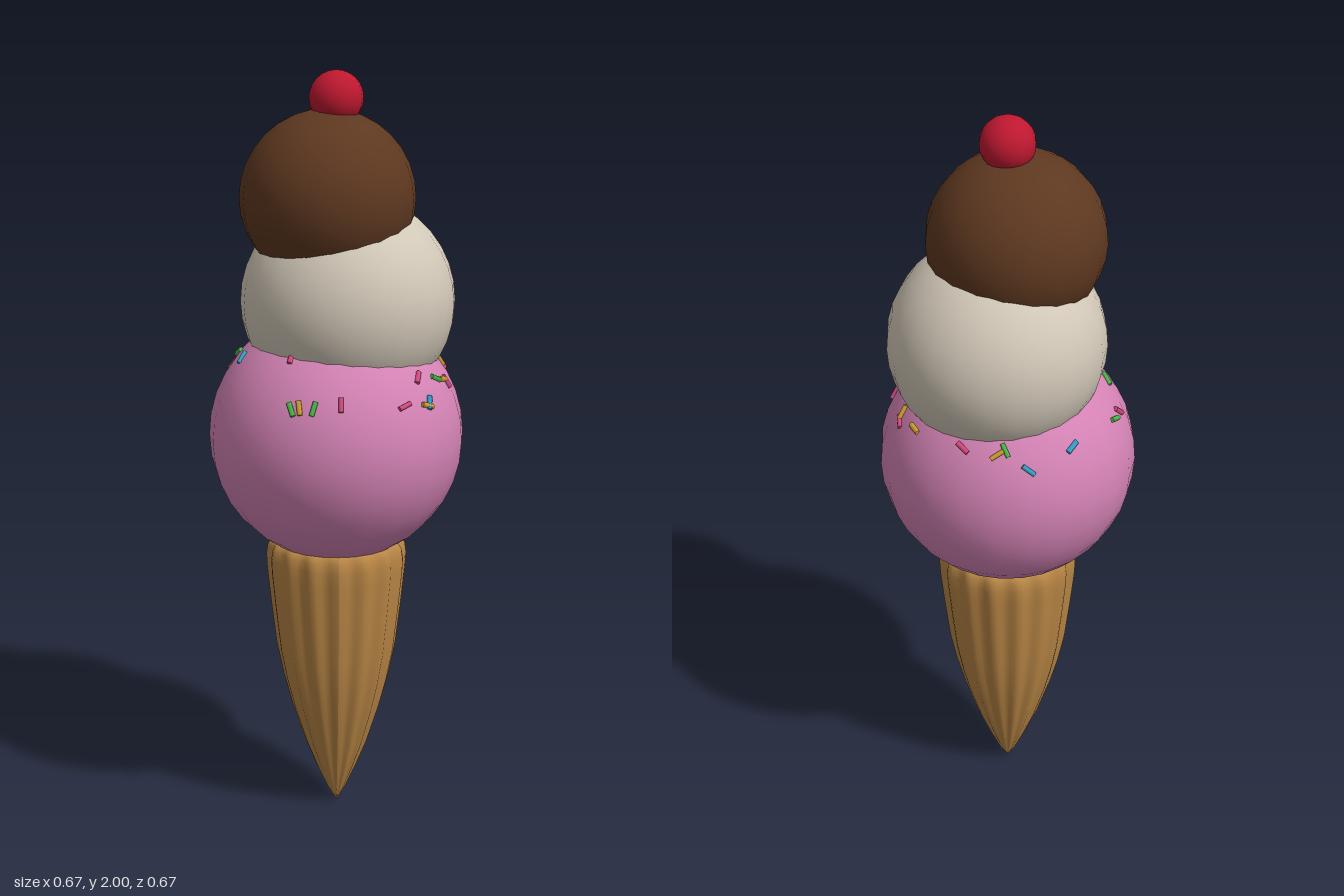
import * as THREE from 'three';

const mat = (color) => new THREE.MeshStandardMaterial({ color, roughness: 0.8 });

function add(group, name, geometry, material, x = 0, y = 0, z = 0) {
  const mesh = new THREE.Mesh(geometry, material);
  mesh.name = name;
  mesh.position.set(x, y, z);
  group.add(mesh);
  return mesh;
}

// Lathe profile whose radius is modulated into shallow vertical ribs
function ribbedCone(ribs) {
  const profile = [
    [0, 0], [0.024, 0.04], [0.055, 0.11], [0.087, 0.19], [0.122, 0.3], [0.143, 0.38],
    [0.161, 0.47], [0.175, 0.59], [0.185, 0.69], [0.187, 0.73], [0.183, 0.755], [0.173, 0.772], [0.155, 0.772],
  ].map(([r, y]) => new THREE.Vector2(r, y));
  const geometry = new THREE.LatheGeometry(profile, ribs * 6);
  const p = geometry.attributes.position;
  for (let i = 0; i < p.count; i++) {
    const angle = Math.atan2(p.getX(i), p.getZ(i));
    const k = 0.97 + 0.03 * Math.cos(angle * ribs);
    p.setX(i, p.getX(i) * k);
    p.setZ(i, p.getZ(i) * k);
  }
  geometry.computeVertexNormals();
  return geometry;
}

export function createModel() {
  const model = new THREE.Group();
  model.name = 'iceCreamCone';

  add(model, 'waferCone', ribbedCone(16), mat(0xb98645));

  // Stacked scoops, each sinking into the one below
  const base = { y: 1.06, r: 0.333 };
  add(model, 'strawberryScoop', new THREE.SphereGeometry(base.r, 24, 18), mat(0xd483b5), 0, base.y, 0);
  add(model, 'vanillaScoop', new THREE.SphereGeometry(0.278, 24, 18), mat(0xd2c8b8), 0.031, 1.41, -0.023);
  add(model, 'chocolateScoop', new THREE.SphereGeometry(0.225, 20, 16), mat(0x5e3820), -0.022, 1.68, 0);
  add(model, 'cherry', new THREE.SphereGeometry(0.069, 16, 12), mat(0xbe1830), 0, 1.931, 0);

  // Sprinkles lying on the lowest scoop: [angle from front, height, colour, roll], degrees
  const colors = { g: mat(0x4cb848), p: mat(0xd84a80), b: mat(0x38a0cc), y: mat(0xd0a030) };
  const sprinkles = [
    [-120, 1.225, 'g', 70], [-112, 1.225, 'p', 40], [-97, 1.275, 'g', -50], [-77, 1.28, 'b', 30],
    [-33, 1.31, 'p', 10], [-24, 1.2, 'g', 28], [-20, 1.205, 'y', 15], [-13, 1.205, 'g', -12],
    [0, 1.215, 'p', 0], [32, 1.2, 'p', -75], [46, 1.19, 'y', 70], [48, 1.195, 'b', -30],
    [47, 1.255, 'p', -45], [62, 1.24, 'g', 60], [69, 1.23, 'y', 75], [73, 1.22, 'p', 15],
    [99, 1.24, 'y', 10], [101, 1.22, 'p', 60], [115, 1.235, 'y', 80], [147, 1.24, 'p', 60],
    [165, 1.235, 'y', -55], [169, 1.245, 'g', 25], [180, 1.2, 'b', 50], [-156, 1.23, 'b', -60],
  ];
  const rod = new THREE.CylinderGeometry(0.007, 0.007, 0.037, 6);
  const group = new THREE.Group();
  group.name = 'sprinkles';
  const toRad = THREE.MathUtils.degToRad;
  for (const [angle, y, color, roll] of sprinkles) {
    const a = toRad(angle);
    const h = y - base.y;
    const r = Math.sqrt(base.r ** 2 - h ** 2);
    const mesh = add(group, 'sprinkle', rod, colors[color], Math.sin(a) * r, y, Math.cos(a) * r);
    mesh.rotation.order = 'YXZ';
    mesh.rotation.set(-Math.asin(h / base.r), a, toRad(roll));
  }
  model.add(group);
  return model;
}
